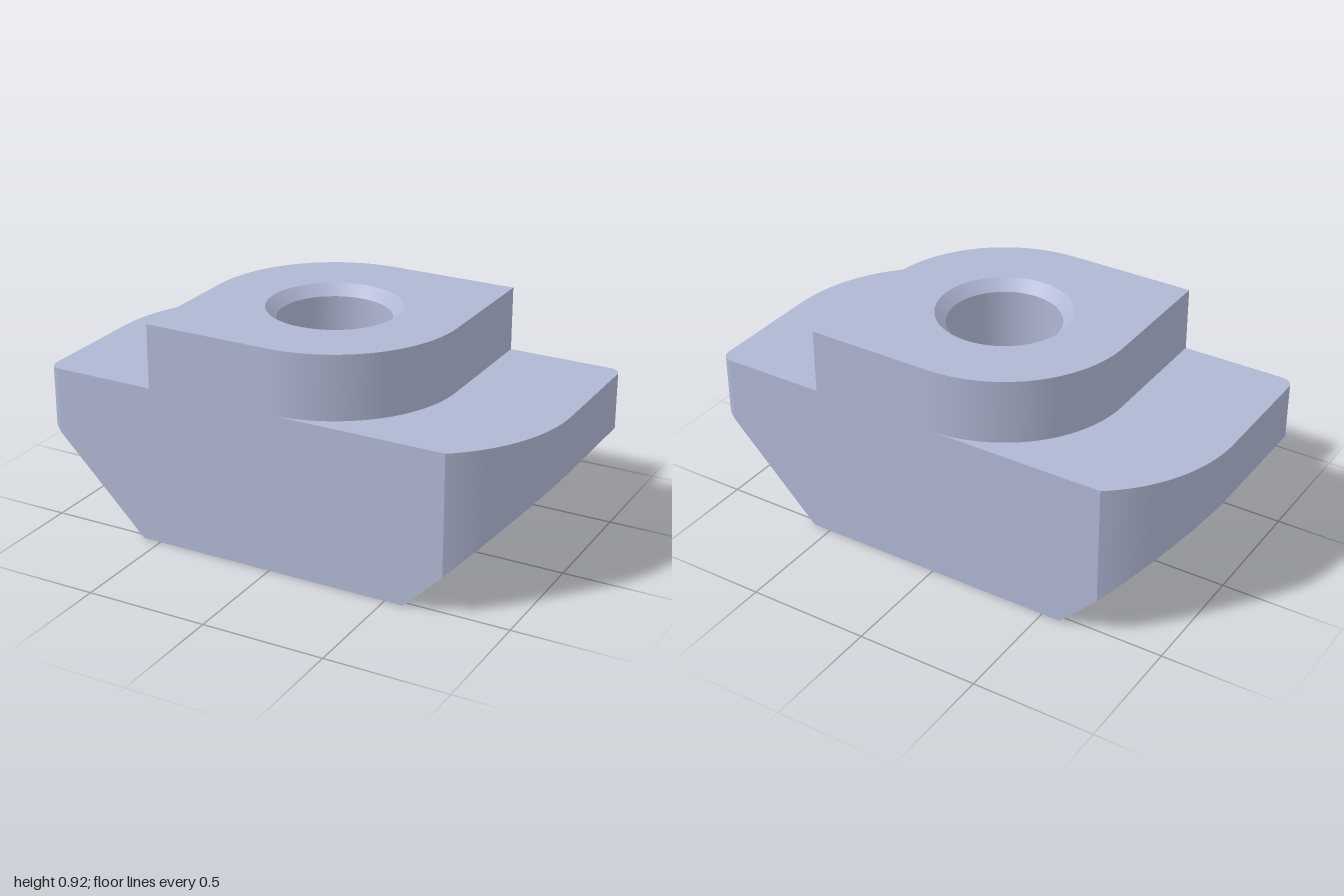
import * as THREE from 'three';
import { mergeGeometries, toCreasedNormals } from 'three/addons/utils/BufferGeometryUtils.js';

const DEPTH = 0.525;      // half depth of the block
const FOOT = 0.577;       // half width of the flat underside
const SHELF = 0.655;      // top of the flanges
const TOP = 0.918;        // top of the raised boss
const BORE = 0.227, RIM = 0.27, SEGMENTS = 64;

// Underside height: flat foot, then 45 degree slopes
const underside = (x) => Math.max(0, Math.abs(x) - FOOT);

// Vertical wall along a plan path of (x, z) points
function wall(points, bottom, top) {
  const positions = [];
  for (let i = 0; i < points.length - 1; i++) {
    const a = points[i], b = points[i + 1];
    const a0 = [a.x, bottom(a.x), a.y], b0 = [b.x, bottom(b.x), b.y];
    const a1 = [a.x, top, a.y], b1 = [b.x, top, b.y];
    positions.push(...a0, ...b0, ...b1, ...a0, ...b1, ...a1);
  }
  const geometry = new THREE.BufferGeometry();
  geometry.setAttribute('position', new THREE.Float32BufferAttribute(positions, 3));
  return geometry;
}

// Cap over a plan outline, with its height given by a function of x
function cap(points, height, facesDown = false, holeRadius = 0) {
  const shape = new THREE.Shape(points.map((p) => new THREE.Vector2(p.x, -p.y)));
  if (holeRadius) {
    const ring = [];
    for (let i = 0; i < SEGMENTS; i++) {
      const t = (i / SEGMENTS) * Math.PI * 2;
      ring.push(new THREE.Vector2(holeRadius * Math.sin(t), holeRadius * Math.cos(t)));
    }
    shape.holes.push(new THREE.Path(ring));
  }
  const geometry = new THREE.ShapeGeometry(shape).rotateX(-Math.PI / 2);
  if (facesDown) geometry.index.array.reverse();
  const position = geometry.attributes.position;
  for (let i = 0; i < position.count; i++) position.setY(i, height(position.getX(i)));
  return bare(geometry);
}

// Keep positions only, so pieces can be merged
function bare(geometry) {
  const flat = geometry.index ? geometry.toNonIndexed() : geometry;
  flat.deleteAttribute('normal');
  flat.deleteAttribute('uv');
  return flat;
}

// Pieces plus their copies turned half way round the vertical axis
const twice = (pieces) => pieces.flatMap((g) => [g, g.clone().rotateY(Math.PI)]);

export function createModel() {
  const model = new THREE.Group();
  const metal = new THREE.MeshStandardMaterial({ color: 0xb0b7d3 });
  metal.name = 'pale blue metal';

  const add = (name, pieces) => {
    const mesh = new THREE.Mesh(toCreasedNormals(mergeGeometries(pieces), 0.5), metal);
    mesh.name = name;
    model.add(mesh);
  };

  // Half of the base outline: front edge, large swept corner, side, small fillet
  const sweep = 0.6525, fillet = 0.05;
  const basePath = new THREE.Path().moveTo(-1 + fillet, DEPTH);
  for (const x of [-FOOT, -DEPTH, 0, FOOT, 0.735]) basePath.lineTo(x, DEPTH);
  basePath.absarc(1 - sweep, 0, sweep, Math.asin(DEPTH / sweep), 0, true);
  basePath.lineTo(1, -DEPTH + fillet);
  basePath.absarc(1 - fillet, -DEPTH + fillet, fillet, 0, -Math.PI / 2, true);
  const baseHalf = basePath.getPoints(20);

  // Half of the boss outline: front edge, quarter round, side
  const bossPath = new THREE.Path().moveTo(-DEPTH, DEPTH).lineTo(0, DEPTH);
  bossPath.absarc(0, 0, DEPTH, Math.PI / 2, 0, true);
  bossPath.lineTo(DEPTH, -DEPTH);
  const bossHalf = bossPath.getPoints(28);

  // Base: walls, flange tops, sloped undersides and the flat foot
  const wing = baseHalf.filter((p) => p.x >= FOOT);
  const shelf = [...bossHalf.slice(1), ...[...wing].reverse()];
  const slope = [...wing, new THREE.Vector2(FOOT, -DEPTH)];
  const foot = [[-1, 1], [1, 1], [1, -1], [-1, -1]]
    .map(([sx, sz]) => new THREE.Vector2(sx * FOOT, sz * DEPTH));
  add('base', [
    ...twice([
      wall(baseHalf, underside, SHELF),
      cap(shelf, () => SHELF),
      cap(slope, underside, true),
    ]),
    cap(foot, () => 0, true, RIM),
  ]);

  // Boss: walls and top face with the bore opening
  const bossOutline = [
    ...bossHalf.slice(0, -1),
    ...bossHalf.slice(0, -1).map((p) => new THREE.Vector2(-p.x, -p.y)),
  ];
  add('boss', [
    ...twice([wall(bossHalf, () => SHELF, TOP)]),
    cap(bossOutline, () => TOP, false, RIM),
  ]);

  // Through bore, chamfered at both ends
  const chamfer = RIM - BORE;
  const profile = [[RIM, TOP], [BORE, TOP - chamfer], [BORE, chamfer], [RIM, 0]]
    .map(([r, y]) => new THREE.Vector2(r, y));
  add('bore', [bare(new THREE.LatheGeometry(profile, SEGMENTS))]);

  return model;
}
